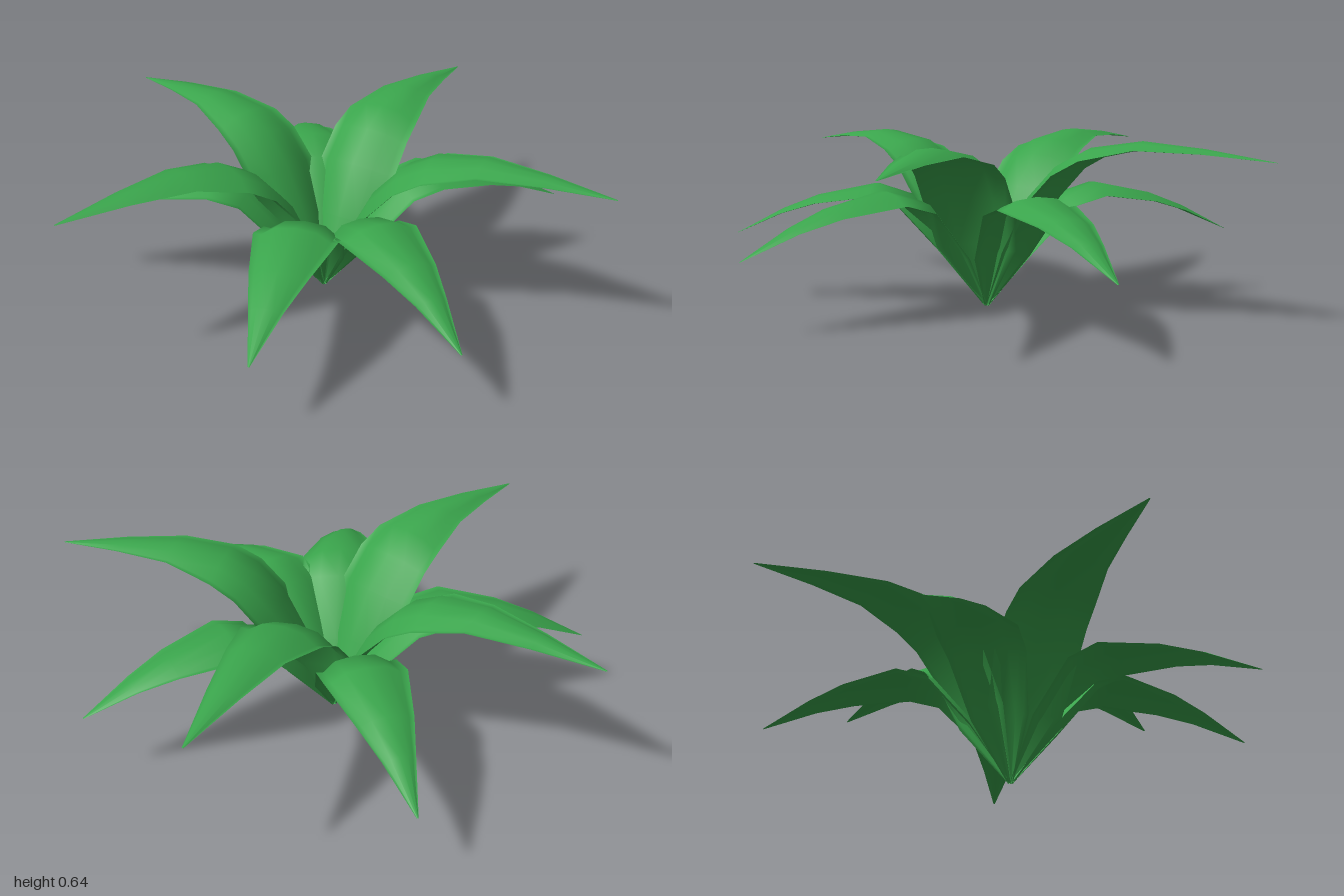
import * as THREE from 'three';

const leafGreen = new THREE.MeshStandardMaterial({ color: 0x3aa54c, side: THREE.DoubleSide });
leafGreen.name = 'leafGreen';

// Spine stations: distance from the centre, height, half width
const UPPER = [[0, 0, 0.01], [0.1, 0.25, 0.15], [0.195, 0.435, 0.167], [0.3, 0.55, 0.163],
  [0.41, 0.608, 0.152], [0.6, 0.637, 0.106], [0.82, 0.617, 0.058], [1.06, 0.58, 0.003]];
const LOWER = [[0, 0, 0.01], [0.12, 0.22, 0.11], [0.28, 0.415, 0.147], [0.42, 0.458, 0.15],
  [0.64, 0.412, 0.1], [0.78, 0.357, 0.058], [0.963, 0.26, 0.003]];

// Arched cross-section with slightly lifted rims: side position, drop below the spine
const SECTION = [[-1, 0.25], [-0.82, 0.27], [-0.5, 0.06], [0, 0], [0.5, 0.06], [0.82, 0.27], [1, 0.25]];

function leafGeometry(spine) {
  const positions = [], index = [], n = SECTION.length;
  spine.forEach(([r, y, half], i) => {
    const a = spine[Math.max(i - 1, 0)], b = spine[Math.min(i + 1, spine.length - 1)];
    const dr = b[0] - a[0], dy = b[1] - a[1], len = Math.hypot(dr, dy);
    SECTION.forEach(([u, drop], j) => {
      const d = drop * half;
      positions.push(r + d * dy / len, Math.max(0, y - d * dr / len), u * half);
      if (i < spine.length - 1 && j < n - 1) {
        const k = i * n + j;
        index.push(k, k + 1, k + n, k + 1, k + n + 1, k + n);
      }
    });
  });
  const geometry = new THREE.BufferGeometry();
  geometry.setAttribute('position', new THREE.Float32BufferAttribute(positions, 3));
  geometry.setIndex(index);
  geometry.computeVertexNormals();
  return geometry;
}

export function createModel() {
  const plant = new THREE.Group();
  plant.name = 'plant';

  // Leaves fan out from one root point; angles run from +x towards +z
  const addLeaves = (name, spine, angles) => {
    const geometry = leafGeometry(spine);
    angles.forEach((angle, i) => {
      const leaf = new THREE.Mesh(geometry, leafGreen);
      leaf.name = name + (i + 1);
      leaf.position.set(0.045, 0, 0.02);
      leaf.rotation.y = -THREE.MathUtils.degToRad(angle);
      plant.add(leaf);
    });
  };
  addLeaves('upperLeaf', UPPER, [-110, -30.5, 50, 170]);
  addLeaves('lowerLeaf', LOWER, [-70.3, 9.6, 90, 130, 210.4]);
  return plant;
}
